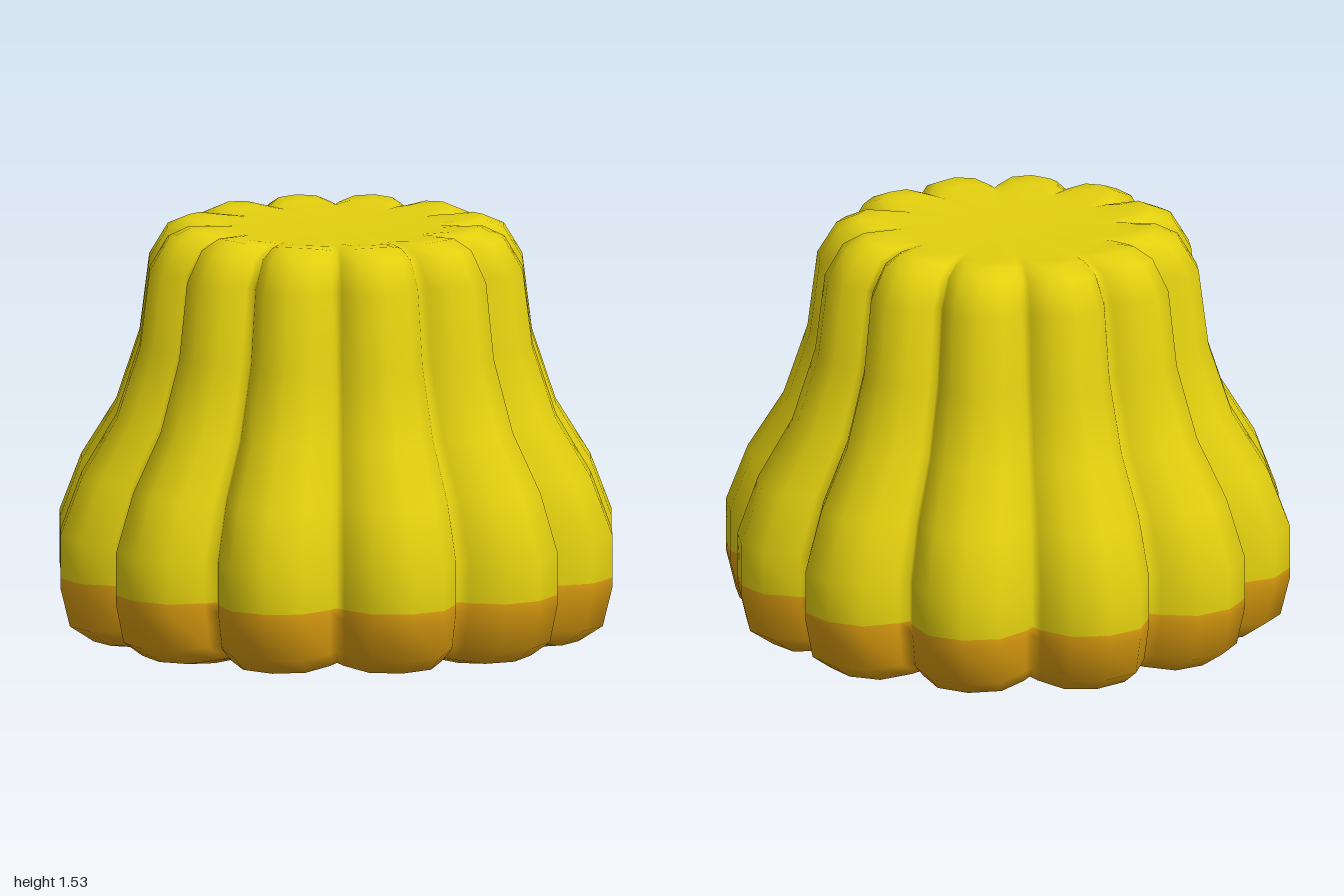
import * as THREE from 'three';

const LOBES = 12;
// Angle from a lobe's crest (degrees) and how far the surface has sunk towards the groove
const RIB = [[-13.3, 0.76], [-7.6, 0.17], [0, 0], [7.6, 0.17], [13.3, 0.76], [15, 1]];

// Rings from the base centre to the top centre: crest radius, crest y, groove radius, groove y
const RINGS = [
  [0, 0.03, 0, 0.03],
  [0.5, 0.025, 0.45, 0.03],
  [0.74, 0.003, 0.64, 0.032],
  [0.91, 0.025, 0.77, 0.045],
  [1.0, 0.085, 0.84, 0.1],
  [1.036, 0.23, 0.868, 0.23],
  [1.036, 0.265, 0.87, 0.265], // colour line
  [1.036, 0.42, 0.87, 0.42],
  [0.955, 0.63, 0.81, 0.63],
  [0.824, 0.84, 0.705, 0.84],
  [0.736, 1.1, 0.63, 1.1],
  [0.7, 1.38, 0.595, 1.38],
  [0.63, 1.495, 0.54, 1.475],
  [0.55, 1.53, 0.47, 1.505],
  [0.47, 1.525, 0.41, 1.513],
  [0.38, 1.515, 0.36, 1.515],
  [0, 1.515, 0, 1.515],
];
const COLOUR_RING = 6;

function flutedGeometry() {
  const n = LOBES * RIB.length;
  const positions = [];
  for (const [crestR, crestY, grooveR, grooveY] of RINGS) {
    for (let k = 0; k < LOBES; k++) {
      for (const [offset, sink] of RIB) {
        const a = THREE.MathUtils.degToRad(15 + k * 30 + offset);
        const r = THREE.MathUtils.lerp(crestR, grooveR, sink);
        const y = THREE.MathUtils.lerp(crestY, grooveY, sink);
        positions.push(r * Math.cos(a), y, r * Math.sin(a));
      }
    }
  }
  const index = [];
  let split = 0;
  for (let i = 0; i < RINGS.length - 1; i++) {
    if (i === COLOUR_RING) split = index.length;
    for (let j = 0; j < n; j++) {
      const next = (j + 1) % n;
      const a = i * n + j, b = i * n + next;
      const up = a + n, upNext = b + n;
      if (i < RINGS.length - 2) index.push(a, up, upNext);
      if (i > 0) index.push(a, upNext, b);
      if (i === RINGS.length - 2) index[index.length - 2] = up; // close the top centre
    }
  }
  const geometry = new THREE.BufferGeometry();
  geometry.setAttribute('position', new THREE.Float32BufferAttribute(positions, 3));
  geometry.setIndex(index);
  geometry.addGroup(0, split, 0);
  geometry.addGroup(split, index.length - split, 1);
  geometry.computeVertexNormals();
  return geometry;
}

export function createModel() {
  const orange = new THREE.MeshStandardMaterial({ color: 0xe0a010 });
  orange.name = 'orange base';
  const yellow = new THREE.MeshStandardMaterial({ color: 0xe3d00f });
  yellow.name = 'yellow body';

  const group = new THREE.Group();
  group.name = 'flutedCake';
  // One smooth skin: orange below the colour line, yellow above
  const body = new THREE.Mesh(flutedGeometry(), [orange, yellow]);
  body.name = 'flutedBody';
  group.add(body);
  return group;
}
